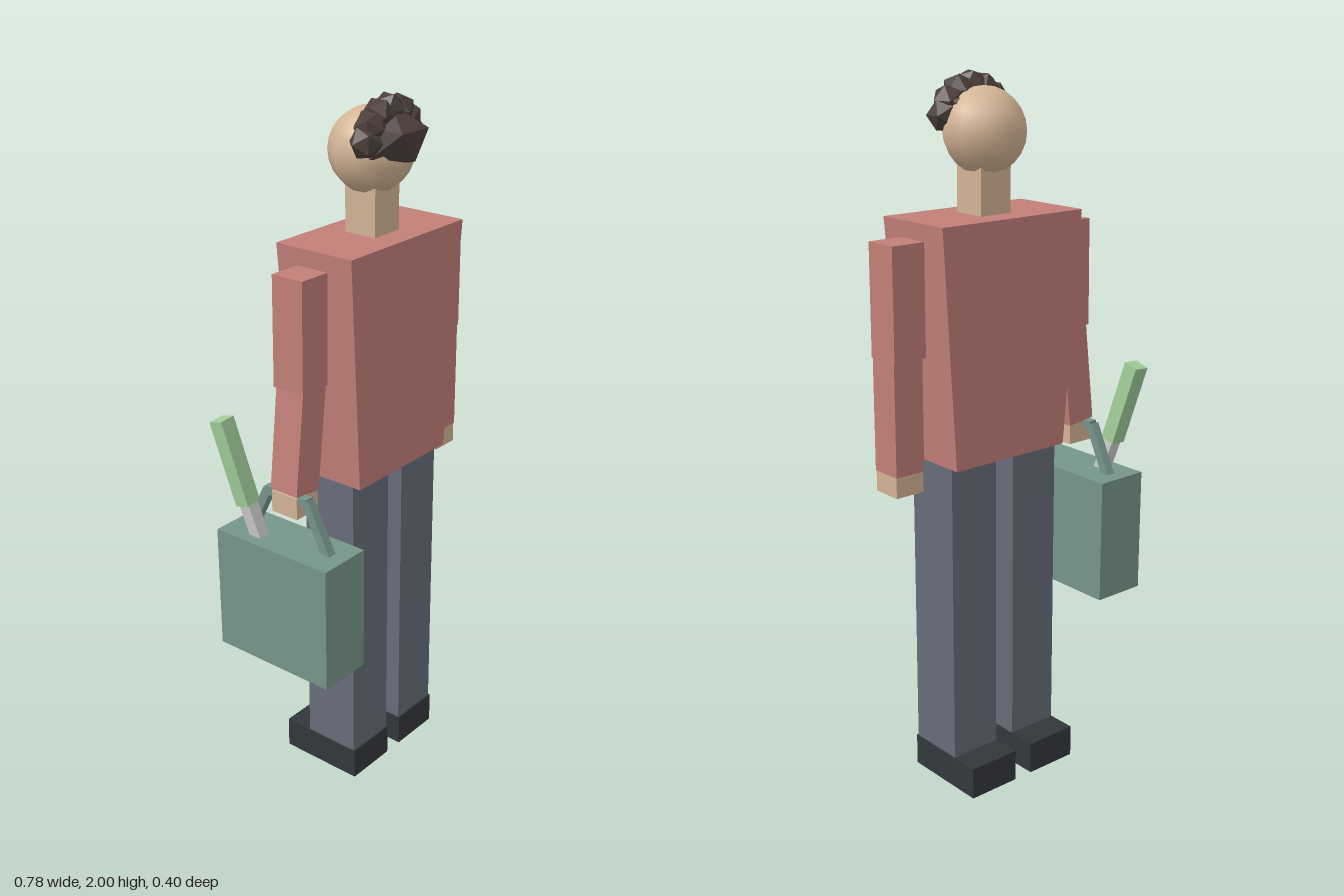
import * as THREE from 'three';

const mat = (color, flatShading = true) => {
  const m = new THREE.MeshStandardMaterial({ flatShading });
  m.color.set(color);
  return m;
};
const shirt = mat(0xc27f78), skin = mat(0xd2b394), skinSmooth = mat(0xd2b394, false);
const trouser = mat(0x666c79), leather = mat(0x33373b), hairMat = mat(0x4c3f3a);
const bagMat = mat(0x76958a), pale = mat(0xcccccc), leaf = mat(0xa0cc98);

const UP = new THREE.Vector3(0, 1, 0);

export function createModel() {
  const root = new THREE.Group();

  const add = (name, geometry, material, parent = root) => {
    const mesh = new THREE.Mesh(geometry, material);
    mesh.name = name;
    parent.add(mesh);
    return mesh;
  };
  const group = (name) => {
    const g = new THREE.Group();
    g.name = name;
    root.add(g);
    return g;
  };
  // Box from its lower to its upper corner
  const box = (name, [x0, y0, z0], [x1, y1, z1], material, parent) => {
    const mesh = add(name, new THREE.BoxGeometry(x1 - x0, y1 - y0, z1 - z0), material, parent);
    mesh.position.set((x0 + x1) / 2, (y0 + y1) / 2, (z0 + z1) / 2);
    return mesh;
  };
  // Square bar running between two points
  const bar = (name, from, to, w, d, material, parent) => {
    const a = new THREE.Vector3(...from), b = new THREE.Vector3(...to);
    const dir = b.clone().sub(a);
    const mesh = add(name, new THREE.BoxGeometry(w, dir.length(), d), material, parent);
    mesh.position.copy(a).add(b).multiplyScalar(0.5);
    mesh.quaternion.setFromUnitVectors(UP, dir.normalize());
    return mesh;
  };

  // Torso, narrower at the waist
  const torso = new THREE.BoxGeometry(0.48, 0.66, 0.25);
  const p = torso.attributes.position;
  for (let i = 0; i < p.count; i++) {
    if (p.getY(i) < 0) p.setXYZ(i, p.getX(i) * 0.8, p.getY(i), p.getZ(i) * 0.91);
  }
  torso.computeVertexNormals();
  add('torso', torso, shirt).position.set(0.045, 1.3, 0.006);

  // Legs and shoes
  for (const [side, x] of [['right', -0.065], ['left', 0.153]]) {
    const leg = group(side + 'Leg');
    box('trouserLeg', [x - 0.078, 0.09, -0.078], [x + 0.078, 0.97, 0.093], trouser, leg);
    box('shoe', [x - 0.08, 0, -0.163], [x + 0.08, 0.093, 0.098], leather, leg);
  }

  // Left arm hanging straight
  const leftArm = group('leftArm');
  box('upperSleeve', [0.286, 1.28, -0.044], [0.388, 1.585, 0.056], shirt, leftArm);
  box('lowerSleeve', [0.295, 0.968, -0.04], [0.387, 1.28, 0.053], shirt, leftArm);
  box('hand', [0.297, 0.91, -0.038], [0.386, 0.968, 0.051], skin, leftArm);

  // Right arm, forearm swung outwards
  const rightArm = group('rightArm');
  bar('upperSleeve', [-0.248, 1.585, 0.006], [-0.252, 1.28, 0.006], 0.099, 0.1, shirt, rightArm);
  bar('lowerSleeve', [-0.25, 1.285, 0.006], [-0.284, 0.992, 0.006], 0.09, 0.092, shirt, rightArm);
  bar('hand', [-0.284, 0.992, 0.006], [-0.284, 0.93, 0.006], 0.086, 0.088, skin, rightArm);

  // Neck and head
  box('neck', [-0.006, 1.62, -0.043], [0.096, 1.76, 0.057], skin);
  const head = add('head', new THREE.SphereGeometry(0.115, 10, 12), skinSmooth);
  head.rotation.y = Math.PI / 2;
  head.position.set(0.046, 1.846, 0.003);

  // Hair: one large faceted tuft with a crown of small curls
  const hair = group('hair');
  const tuft = new THREE.IcosahedronGeometry(0.115, 0)
    .rotateY(-0.365).rotateZ(-Math.PI / 2).scale(0.92, 0.73, 1.08);
  add('tuft', tuft, hairMat, hair).position.set(0.046, 1.886, 0.046);
  for (let i = 0; i < 7; i++) {
    const a = THREE.MathUtils.degToRad(15 + 25 * i);
    const curl = add('curl', new THREE.IcosahedronGeometry(0.046, 0), hairMat, hair);
    curl.position.set(0.046 + 0.095 * Math.cos(a), 1.862 + 0.095 * Math.sin(a), 0.058);
    curl.rotation.set(0, i * 0.4, 0);
  }

  // Shopping bag with a three-part handle
  const bag = group('shoppingBag');
  box('bagBody', [-0.39, 0.488, -0.187], [-0.23, 0.85, 0.2], bagMat, bag);
  box('handleGrip', [-0.32, 0.97, -0.065], [-0.294, 0.995, 0.078], bagMat, bag);
  for (const s of [-1, 1]) {
    bar('handleStrap', [-0.307, 0.84, 0.005 + s * 0.14], [-0.307, 0.985, 0.005 + s * 0.067],
      0.026, 0.026, bagMat, bag);
  }

  // Leek sticking out of the bag
  const leek = group('leek');
  bar('stalk', [-0.334, 0.8, -0.062], [-0.349, 0.95, -0.108], 0.036, 0.036, pale, leek);
  bar('leaves', [-0.349, 0.94, -0.106], [-0.366, 1.175, -0.176], 0.048, 0.046, leaf, leek);

  return root;
}
